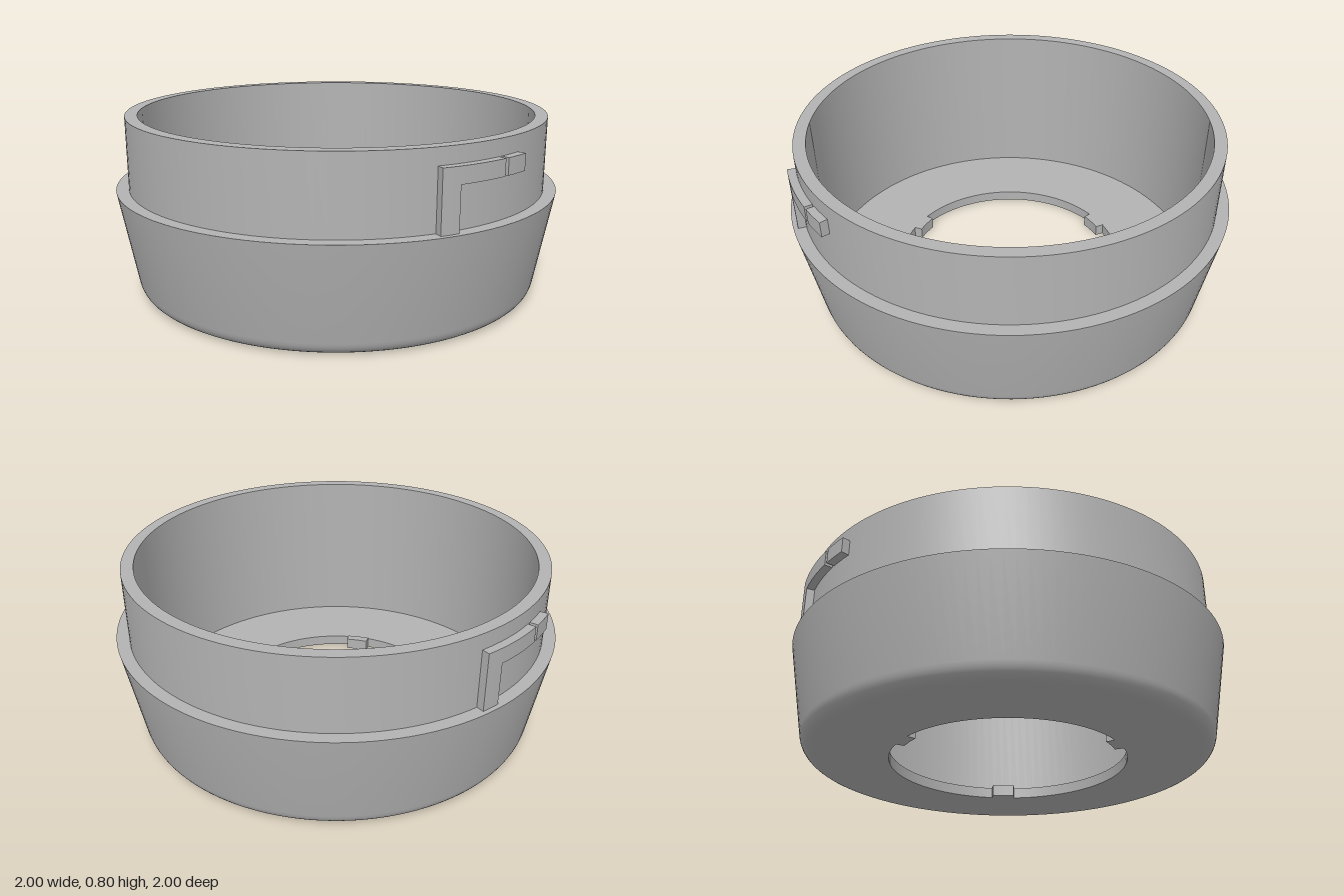
import * as THREE from 'three';
import { toCreasedNormals } from 'three/addons/utils/BufferGeometryUtils.js';

const grey = new THREE.MeshStandardMaterial({ color: 0xb3b3b3 });
grey.name = 'grey';

function part(name, geometry) {
  const mesh = new THREE.Mesh(toCreasedNormals(geometry, 0.55), grey);
  mesh.name = name;
  return mesh;
}

// Curved block between two radii, two angles (0 = front, positive toward +x) and two heights
function arcBlock(name, r0, r1, a0, a1, y0, y1) {
  const shape = new THREE.Shape();
  const q = Math.PI / 2;
  shape.absarc(0, 0, r1, a0 - q, a1 - q, false);
  shape.absarc(0, 0, r0, a1 - q, a0 - q, true);
  const geo = new THREE.ExtrudeGeometry(shape, { depth: y1 - y0, bevelEnabled: false, curveSegments: 10 });
  geo.rotateX(-Math.PI / 2);
  geo.translate(0, y0, 0);
  return part(name, geo);
}

export function createModel() {
  const model = new THREE.Group();
  model.name = 'bayonetCup';

  // Tapered body, neck, inner wall and floor ring as one closed profile
  const fillet = new THREE.QuadraticBezierCurve(
    new THREE.Vector2(0.85, 0), new THREE.Vector2(0.913, 0), new THREE.Vector2(0.925, 0.06));
  const profile = [
    new THREE.Vector2(0.535, 0),
    ...fillet.getPoints(8),
    ...[[1, 0.475], [0.945, 0.475], [0.945, 0.8], [0.89, 0.8], [0.89, 0.05], [0.535, 0.05], [0.535, 0]]
      .map(([r, y]) => new THREE.Vector2(r, y)),
  ];
  model.add(part('cupBody', new THREE.LatheGeometry(profile, 128)));

  // Bayonet catches on the neck: an L-shaped guide and a separate stop
  [['front', 0], ['back', Math.PI + 0.052]].forEach(([side, turn]) => {
    const lock = new THREE.Group();
    lock.name = side + 'Catch';
    lock.add(
      arcBlock('guideLeg', 0.94, 0.98, -0.258, -0.176, 0.475, 0.66),
      arcBlock('guideBar', 0.94, 0.98, -0.258, 0.05, 0.66, 0.73),
      arcBlock('stopBlock', 0.94, 0.98, 0.067, 0.184, 0.66, 0.73),
    );
    lock.rotation.y = turn;
    model.add(lock);
  });

  // Three key tabs around the floor opening
  for (let i = 0; i < 3; i++) {
    const a = Math.PI + (i * 2 * Math.PI) / 3;
    model.add(arcBlock('keyTab', 0.495, 0.535, a - 0.105, a + 0.105, 0, 0.055));
  }
  return model;
}
